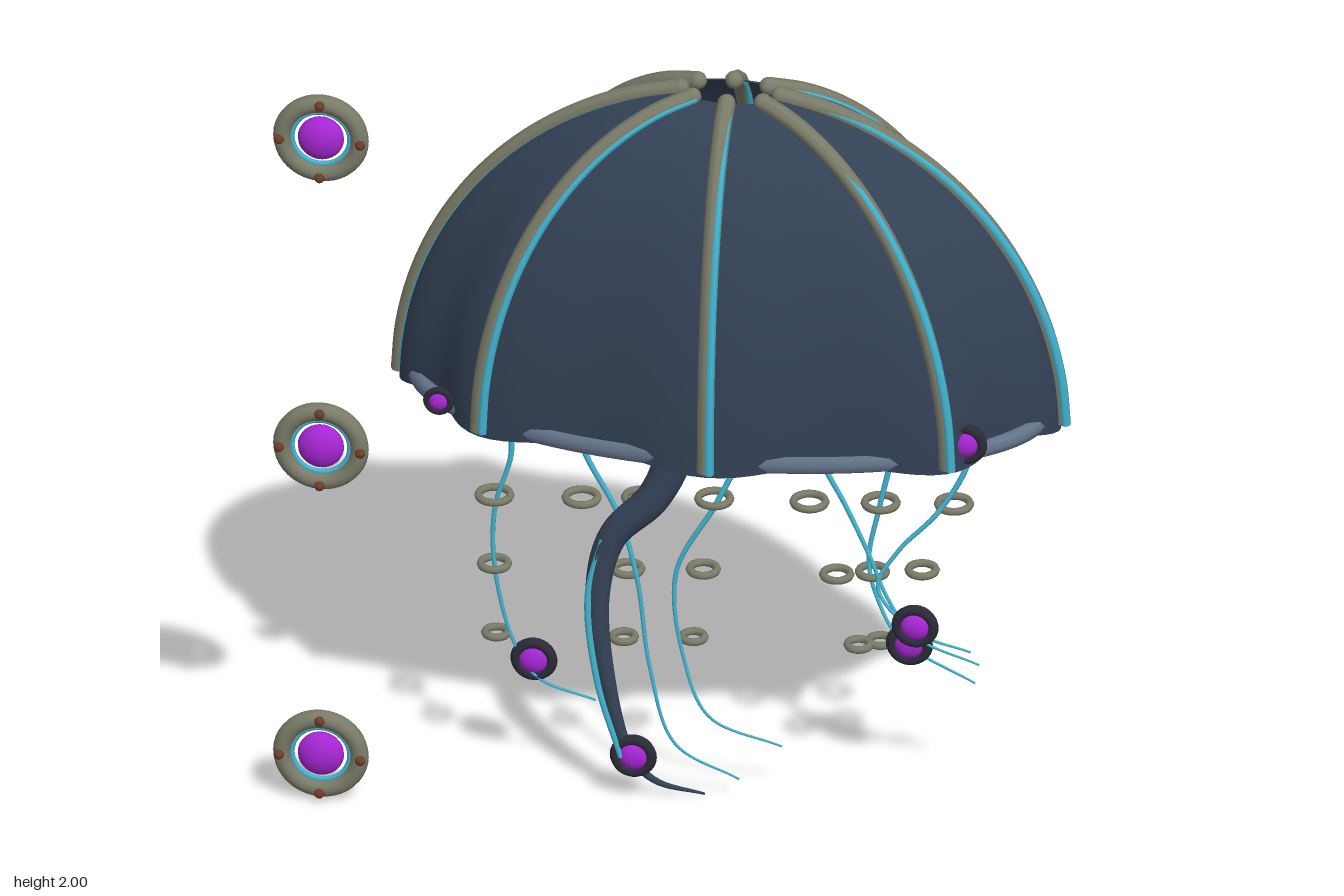
import * as THREE from 'three';

const mat = (name, color, side = THREE.FrontSide) => {
  const m = new THREE.MeshStandardMaterial({ color, side });
  m.name = name;
  return m;
};
const V = (x, y, z) => new THREE.Vector3(x, y, z);

// Bell proportions
const CX = 0.133, BASE = 1.09, RX = 0.83, RZ = 0.39, H = 0.89, TOP = 1.42;

// Point on the bell: a = angle around, t = elevation (0 hem .. TOP opening)
function bellPoint(a, t, grow = 0) {
  const valley = (1 - Math.cos(8 * a)) / 2;
  const k = Math.cos(t) * (1 - 0.075 * valley * Math.cos(t));
  return V(
    CX + (RX + grow) * k * Math.cos(a),
    BASE + (H + grow) * Math.sin(t) + 0.03 * valley * Math.pow(Math.cos(t), 6),
    (RZ + grow) * k * Math.sin(a)
  );
}

// Tube along points whose radius runs from r0 to r1
function taperedTube(points, r0, r1, sides = 8, segments = 48) {
  const curve = new THREE.CatmullRomCurve3(points);
  const g = new THREE.TubeGeometry(curve, segments, 1, sides);
  const p = g.attributes.position, v = V(0, 0, 0);
  for (let i = 0; i < p.count; i++) {
    const u = Math.floor(i / (sides + 1)) / segments;
    const c = curve.getPointAt(u);
    v.fromBufferAttribute(p, i).sub(c).multiplyScalar(r0 + (r1 - r0) * u).add(c);
    p.setXYZ(i, v.x, v.y, v.z);
  }
  return g;
}

export function createModel() {
  const root = new THREE.Group();
  const navy = mat('navy skin', 0x334155, THREE.DoubleSide);
  const bronze = mat('grey bronze', 0x7b7b69);
  const cyan = mat('cyan glow', 0x42b4d0);
  const purple = mat('purple gem', 0xa626d3);
  const dark = mat('dark setting', 0x2b2b38);
  const brown = mat('rivet brown', 0x6b3d28);
  const slate = mat('slate hem', 0x64748b);

  const add = (name, geo, material, parent = root) => {
    const m = new THREE.Mesh(geo, material);
    m.name = name;
    parent.add(m);
    return m;
  };

  // Scalloped bell, open at the crown
  const bell = new THREE.CylinderGeometry(1, 1, 1, 128, 32, true);
  const bp = bell.attributes.position, uv = bell.attributes.uv;
  for (let i = 0; i < bp.count; i++) {
    // quarter turn keeps the outside facing outwards
    const p = bellPoint(Math.PI / 2 - uv.getX(i) * Math.PI * 2, uv.getY(i) * TOP);
    bp.setXYZ(i, p.x, p.y, p.z);
  }
  bell.computeVertexNormals();
  add('bell', bell, navy);

  // Ring inside the hem
  const hem = new THREE.TorusGeometry(1, 0.03, 8, 96);
  hem.rotateX(Math.PI / 2).scale(0.785, 0.8, 0.368).translate(CX, 1.125, 0);
  add('hemRing', hem, slate);

  // Ribs, each with a glowing line alongside
  for (let i = 0; i < 8; i++) {
    const a = (i * Math.PI) / 4, path = [];
    for (let j = 0; j <= 10; j++) path.push(bellPoint(a, 0.02 + (j / 10) * (TOP - 0.02), 0.002));
    add('rib', taperedTube(path, 0.02, 0.023), bronze);
    const glow = path.map((p) => p.clone().add(V(0.012, 0, 0.012)));
    add('ribGlow', taperedTube(glow, 0.013, 0.009, 6), cyan);
    const end = new THREE.SphereGeometry(0.023, 10, 8);
    end.translate(...path[10].toArray());
    add('ribEnd', end, bronze);
  }

  // Gem in a dark round setting, facing front
  const bead = (name, x, y, z, r) => {
    const g = new THREE.Group();
    g.name = name;
    g.position.set(x, y, z);
    g.scale.setScalar(r);
    add('setting', new THREE.TorusGeometry(0.78, 0.24, 8, 28), dark, g);
    add('gem', new THREE.SphereGeometry(0.66, 20, 14).scale(1, 1, 0.6), purple, g);
    root.add(g);
  };
  for (let i = 0; i < 9; i++) bead('bellGem', -0.56 + i * 0.165, 1.16, 0.238, 0.038 + i * 0.0022);
  bead('tentacleGem', -0.35, 0.345, 0.06, 0.058);
  bead('tentacleGem', -0.09, 0.13, 0.125, 0.058);
  bead('tentacleGem', 0.603, 0.515, 0.04, 0.058);
  bead('tentacleGem', 0.582, 0.44, 0.0, 0.058);

  // Thin tentacles: [top z, low z, [x, y] points]
  const strands = [
    [0.02, 0.07, [[-0.44, 1.17], [-0.43, 1.06], [-0.41, 0.92], [-0.45, 0.76], [-0.45, 0.6], [-0.4, 0.39], [-0.34, 0.3], [-0.2, 0.225]]],
    [0.0, 0.1, [[-0.27, 1.17], [-0.255, 1.06], [-0.23, 0.94], [-0.14, 0.77], [-0.09, 0.6], [-0.055, 0.36], [0.01, 0.16], [0.165, 0.05]]],
    [-0.06, 0.06, [[0.14, 1.17], [0.145, 1.06], [0.155, 0.94], [0.1, 0.8], [0.0, 0.6], [0.025, 0.36], [0.09, 0.22], [0.265, 0.13]]],
    [-0.08, 0.03, [[0.31, 1.17], [0.32, 1.06], [0.345, 0.94], [0.42, 0.8], [0.48, 0.68], [0.53, 0.57], [0.6, 0.48], [0.755, 0.39]]],
    [-0.1, 0.0, [[0.5, 1.17], [0.51, 1.06], [0.525, 0.94], [0.5, 0.8], [0.475, 0.65], [0.5, 0.55], [0.56, 0.45], [0.74, 0.32]]],
    [-0.13, 0.04, [[0.7, 1.17], [0.71, 1.06], [0.72, 0.94], [0.65, 0.8], [0.55, 0.69], [0.505, 0.6], [0.6, 0.5], [0.735, 0.43]]],
  ];
  for (const [z0, z1, pts] of strands) {
    const n = pts.length - 1;
    const path = pts.map(([x, y], i) => V(x, y, z0 + (z1 - z0) * Math.min(1, i / (n - 1)) - (i === n ? 0.04 : 0)));
    add('tentacle', taperedTube(path, 0.009, 0.003, 6, 64), cyan);
  }

  // Thick main tentacle with its glowing line
  const trunk = [
    V(-0.07, 1.17, 0.01), V(-0.04, 1.08, 0.015), V(-0.005, 0.95, 0.03), V(-0.05, 0.83, 0.05), V(-0.15, 0.72, 0.07),
    V(-0.185, 0.57, 0.09), V(-0.16, 0.34, 0.11), V(-0.1, 0.13, 0.115), V(-0.04, 0.05, 0.1), V(0.08, 0.006, 0.07),
  ];
  add('mainTentacle', taperedTube(trunk, 0.058, 0.003, 14, 80), navy);
  const cap = new THREE.SphereGeometry(0.058, 14, 10);
  cap.translate(...trunk[0].toArray());
  add('mainTentacleTop', cap, navy);
  const line = trunk.slice(4, 8).map((p) => p.clone().add(V(-0.02, 0, 0.022)));
  add('mainTentacleGlow', taperedTube(line, 0.011, 0.007, 6), cyan);

  // Flat rings around the tentacles at three heights
  const levels = [
    [0.8, 0.04, [-0.45, -0.235, -0.09, 0.09, 0.325, 0.5, 0.68]],
    [0.605, 0.034, [-0.45, -0.12, 0.065, 0.395, 0.48, 0.6]],
    [0.41, 0.028, [-0.445, -0.13, 0.04, 0.45, 0.5, 0.56]],
  ];
  for (const [y, r, xs] of levels) {
    xs.forEach((x, i) => {
      const ring = new THREE.TorusGeometry(r, 0.01, 8, 24);
      ring.rotateX(Math.PI / 2).translate(x, y, 0.055 - (0.14 * i) / (xs.length - 1));
      add('tentacleRing', ring, bronze);
    });
  }

  // Three floating medallions
  for (const y of [0.13, 1.005, 1.882]) {
    const g = new THREE.Group();
    g.name = 'medallion';
    g.position.set(-0.855, y, 0.238);
    add('frame', new THREE.TorusGeometry(0.097, 0.023, 12, 40), bronze, g);
    add('innerRing', new THREE.TorusGeometry(0.073, 0.007, 8, 40), cyan, g);
    add('gem', new THREE.SphereGeometry(0.058, 24, 16).scale(1, 1, 0.6), purple, g);
    for (let i = 0; i < 4; i++) {
      const a = (i * Math.PI) / 2;
      const rivet = new THREE.SphereGeometry(0.013, 10, 8);
      rivet.translate(0.102 * Math.cos(a), 0.102 * Math.sin(a), 0.023);
      add('rivet', rivet, brown, g);
    }
    root.add(g);
  }
  return root;
}
